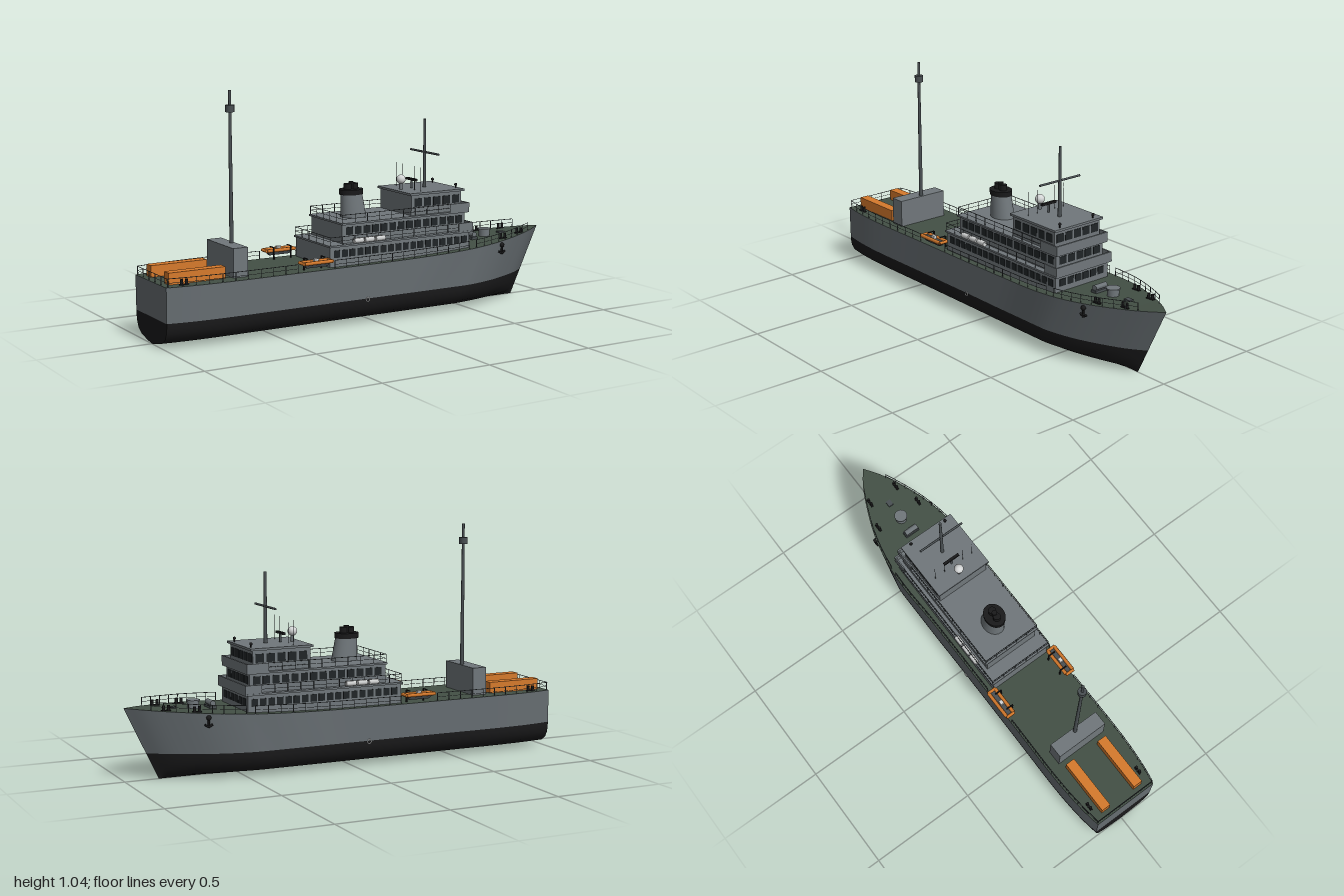
import * as THREE from 'three';
import { mergeGeometries } from 'three/addons/utils/BufferGeometryUtils.js';

const mat = (name, color, side = THREE.FrontSide) => Object.assign(new THREE.MeshStandardMaterial({ color, side }), { name });
const V = (x, y, z) => new THREE.Vector3(x, y, z);

export function createModel() {
  const ship = new THREE.Group();
  ship.name = 'ship';
  const hullGrey = mat('hull grey', 0x666d71);
  const houseGrey = mat('house grey', 0x70777b);
  const black = mat('black', 0x1a1a1b);
  const green = mat('deck green', 0x435045);
  const orange = mat('orange', 0xd67a2c);
  const glass = mat('dark glass', 0x202527);
  const white = mat('white', 0xd4d6d6);
  const railGrey = mat('rail grey', 0x4a5053);

  const add = (name, geo, material, x = 0, y = 0, z = 0) => {
    const m = new THREE.Mesh(geo, material);
    m.name = name;
    m.position.set(x, y, z);
    ship.add(m);
    return m;
  };
  // box given by its limits
  const box = (name, m, x0, x1, y0, y1, z0, z1) =>
    add(name, new THREE.BoxGeometry(x1 - x0, y1 - y0, z1 - z0), m, (x0 + x1) / 2, (y0 + y1) / 2, (z0 + z1) / 2);
  const cyl = (name, m, x, y0, y1, z, r0, r1 = r0, n = 16) =>
    add(name, new THREE.CylinderGeometry(r1, r0, y1 - y0, n), m, x, (y0 + y1) / 2, z);
  // thin rod between two points
  const rod = (a, b, r) => {
    const d = b.clone().sub(a);
    const g = new THREE.CylinderGeometry(r, r, d.length(), 6);
    g.applyQuaternion(new THREE.Quaternion().setFromUnitVectors(V(0, 1, 0), d.normalize()));
    return g.translate((a.x + b.x) / 2, (a.y + b.y) / 2, (a.z + b.z) / 2);
  };
  // surface through rows of points
  const grid = rows => {
    const n = rows[0].length, idx = [];
    for (let i = 0; i < rows.length - 1; i++)
      for (let j = 0; j < n - 1; j++) {
        const a = i * n + j, b = a + n;
        idx.push(a, a + 1, b + 1, a, b + 1, b);
      }
    const g = new THREE.BufferGeometry().setFromPoints(rows.flat());
    g.setIndex(idx);
    g.computeVertexNormals();
    return g;
  };

  // deck edge: x, height, half breadth
  const edge = new THREE.CatmullRomCurve3([
    V(-1, .265, .155), V(-.9, .265, .17), V(-.75, .265, .18), V(-.4, .265, .18), V(-.1, .265, .18),
    V(.2, .268, .182), V(.4, .276, .19), V(.55, .284, .181), V(.7, .294, .149), V(.85, .304, .09),
    V(.93, .31, .049), V(1, .315, 0)]).getPoints(66);
  const deckAt = x => {
    const i = Math.max(1, edge.findIndex(p => p.x >= x));
    return edge[i - 1].clone().lerp(edge[i], (x - edge[i - 1].x) / (edge[i].x - edge[i - 1].x));
  };

  // hull rows, following the raked stem
  const row = (y, w, s) => edge.map(p => V(-1 + (p.x + 1) * (1.85 + .15 * y / .315) / 2, y, s * Math.min(p.z, .182) * w));
  const deckRow = s => edge.map(p => V(p.x, p.y, s * p.z));
  const profile = [[0, 0], [.01, .35], [.022, .66], [.042, .86], [.07, .955], [.095, .985], [.115, .99]];
  for (const s of [1, -1]) {
    const order = r => (s > 0 ? r : r.reverse());
    add('lowerHull', grid(profile.map(([y, w]) => order(row(y, w, s)))), black);
    add('upperHull', grid([order(row(.115, .99, s)), order(deckRow(s))]), hullGrey);
  }
  const stern = (y, w) => [V(-1, y, -.155 * w), V(-1, y, .155 * w)];
  add('lowerTransom', grid(profile.map(p => stern(...p))), black);
  add('upperTransom', grid([stern(.115, .99), stern(.265, 1)]), hullGrey);
  add('mainDeck', grid([deckRow(1), deckRow(-1)]), green);

  // superstructure tiers
  box('lowerHouse', houseGrey, -.23, .5, .255, .352, -.15, .15);
  box('lowerHouseRoof', houseGrey, -.235, .515, .352, .36, -.16, .16);
  box('middleHouse', houseGrey, -.16, .485, .36, .442, -.133, .133);
  box('middleHouseRoof', houseGrey, -.165, .502, .442, .45, -.145, .145);
  box('bridge', houseGrey, .2, .468, .45, .54, -.128, .128);
  box('bridgeRoof', houseGrey, .19, .48, .54, .55, -.137, .137);
  box('lowerBulwark', houseGrey, .507, .515, .36, .397, -.155, .155);
  box('bridgeBulwark', houseGrey, .494, .502, .45, .486, -.142, .142);
  for (const s of [1, -1]) {
    box('lowerBulwarkSide', houseGrey, .44, .515, .36, .397, s * .155 - .003, s * .155 + .003);
    box('bridgeBulwarkSide', houseGrey, .4, .502, .45, .486, s * .142 - .003, s * .142 + .003);
  }

  // window rows along both sides and across the front
  const windows = (x0, x1, n, y0, y1, z, front, nf, wf) => {
    const pitch = (x1 - x0) / n;
    for (let i = 0; i < n; i++) {
      const x = x0 + pitch * (i + .5), h = pitch * .38;
      for (const s of [1, -1]) box('sideWindow', glass, x - h, x + h, y0, y1, s * z - .002, s * z + .002);
    }
    const pf = 2 * wf / nf;
    for (let i = 0; i < nf; i++) {
      const c = -wf + pf * (i + .5);
      box('frontWindow', glass, front - .002, front + .002, y0, y1, c - pf * .4, c + pf * .4);
    }
  };
  windows(-.215, .49, 18, .305, .337, .15, .5, 6, .13);
  windows(-.145, .475, 14, .396, .43, .133, .485, 5, .12);
  windows(.21, .462, 5, .488, .525, .128, .468, 5, .122);

  // railings: posts and two bars along a path of floor points
  const rail = (name, pts, h = .036) => {
    const parts = [];
    pts.forEach((p, i) => {
      const up = k => pts[i + k].clone().add(V(0, h, 0));
      parts.push(rod(p, up(0), .0015));
      if (i < pts.length - 1) {
        parts.push(rod(up(0), up(1), .0015));
        parts.push(rod(p.clone().add(V(0, h / 2, 0)), pts[i + 1].clone().add(V(0, h / 2, 0)), .001));
      }
    });
    add(name, mergeGeometries(parts), railGrey);
  };
  const line = (a, b, n) => Array.from({ length: n + 1 }, (_, i) => a.clone().lerp(b, i / n));
  const deckLine = (x0, x1, n, s) => line(V(x0, 0, 0), V(x1, 0, 0), n).map(p => {
    const d = deckAt(p.x);
    return V(p.x, d.y, s * (d.z - .005));
  });
  for (const s of [1, -1]) {
    rail('aftRail', deckLine(-.99, -.4, 10, s));
    rail('sideRail', deckLine(-.22, .48, 12, s));
    rail('bowRail', deckLine(.52, .9, 8, s));
    rail('lowerRoofRail', line(V(-.23, .36, s * .156), V(.44, .36, s * .156), 11));
    rail('middleRoofRail', line(V(-.16, .45, s * .141), V(.4, .45, s * .141), 9));
  }
  rail('sternRail', line(V(-.993, .265, -.15), V(-.993, .265, .15), 5));
  rail('lowerRoofAftRail', line(V(-.23, .36, -.156), V(-.23, .36, .156), 5));
  rail('middleRoofAftRail', line(V(-.16, .45, -.141), V(-.16, .45, .141), 5));

  // funnel: oval, tapered and raked
  const oval = (name, m, y0, y1, r0, r1, x) => {
    const f = cyl(name, m, x, y0, y1, 0, r0, r1, 28);
    f.geometry.scale(1, 1, .82);
    return f;
  };
  const rake = g => g.applyMatrix4(new THREE.Matrix4().makeShear(0, 0, -.1, 0, 0, 0));
  rake(oval('funnel', houseGrey, .45, .555, .06, .05, -.028).geometry);
  oval('funnelCap', black, .55, .573, .055, .056, -.034);
  for (const x of [-.052, -.018]) cyl('exhaustPipe', black, x, .57, .598, 0, .017);
  cyl('mainExhaust', black, -.034, .57, .605, 0, .012);

  // bridge mast, yard, radar and aerials
  cyl('foreMast', railGrey, .355, .55, .86, 0, .008, .006);
  add('yard', rod(V(.355, .71, -.113), V(.355, .71, .113), .005), railGrey);
  cyl('radarPost', railGrey, .285, .55, .588, 0, .005);
  box('radarBar', black, .279, .291, .586, .596, -.04, .04);
  cyl('domePost', houseGrey, .228, .55, .58, 0, .008);
  add('radarDome', new THREE.SphereGeometry(.021, 24, 16), white, .228, .595, 0);
  for (const z of [-.1, -.05, .05, .1]) cyl('whipAerial', railGrey, .268, .55, .657, z, .0015, .001, 6);
  for (const s of [1, -1]) {
    cyl('lampPost', black, .462, .55, .562, s * .094, .003);
    add('searchlight', new THREE.SphereGeometry(.007, 12, 8), black, .462, .565, s * .094);
  }

  // aft mast on its deckhouse
  box('mastHouse', houseGrey, -.68, -.612, .262, .39, -.125, .125);
  cyl('aftMast', railGrey, -.625, .39, 1.037, 0, .009, .006);
  cyl('mastDrum', railGrey, -.625, .945, .975, 0, .019);

  for (const s of [1, -1]) {
    // cargo boxes on the after deck
    box('cargoBox', orange, -.968, -.71, .262, .315, s * .0885 - .022, s * .0885 + .022);

    // ship's boat: grey hull with an orange collar, hung on davits
    for (const z of [.149, .186])
      add('boatCollar', rod(V(-.375, .302, s * z), V(-.24, .302, s * z), .0085), orange);
    for (const x of [-.379, -.239])
      add('boatCollarEnd', rod(V(x, .302, s * .146), V(x, .302, s * .189), .0075), orange);
    const boat = box('boatHull', railGrey, -.375, -.242, .28, .302, s * .167 - .017, s * .167 + .017);
    const p = boat.geometry.attributes.position;
    for (let i = 0; i < p.count; i++) if (p.getY(i) < 0) p.setXYZ(i, p.getX(i) * .75, p.getY(i), p.getZ(i) * .5);
    boat.geometry.computeVertexNormals();
    box('boatConsole', white, -.32, -.3, .302, .317, s * .167 - .008, s * .167 + .008);
    for (const x of [-.35, -.265]) {
      add('davitPost', rod(V(x, .262, s * .135), V(x, .318, s * .135), .004), black);
      add('davitArm', rod(V(x, .318, s * .135), V(x, .318, s * .168), .003), black);
    }

    // life raft canisters
    for (const x of [-.09, -.035, .02])
      add('raftCanister', rod(V(x - .023, .372, s * .155), V(x + .023, .372, s * .155), .012), white);

    // twin bollards
    for (const [x, z] of [[-.912, .137], [.716, .113], [.838, .073]]) {
      const y = deckAt(x).y;
      box('bollardBase', black, x - .02, x + .02, y - .003, y + .004, s * z - .006, s * z + .006);
      for (const d of [-.011, .011]) cyl('bollard', black, x + d, y, y + .024, s * z, .006);
    }

    // anchor against the bow plating
    const z = s * .156;
    add('anchorShank', rod(V(.68, .282, z), V(.68, .237, z), .005), black);
    add('anchorHawse', new THREE.SphereGeometry(.011, 12, 8), black, .68, .275, z);
    add('anchorArms', rod(V(.663, .246, z), V(.68, .236, z), .005), black);
    add('anchorArms', rod(V(.697, .246, z), V(.68, .236, z), .005), black);

    // load ring on the side
    add('loadRing', new THREE.TorusGeometry(.009, .002, 6, 20), white, -.058, .112, s * .181);
  }

  // foredeck gear
  box('winchBase', railGrey, .598, .628, .28, .3, -.036, .036);
  add('winchDrum', rod(V(.613, .31, -.032), V(.613, .31, .032), .013), houseGrey);
  cyl('capstan', houseGrey, .692, .285, .322, 0, .026, .026, 20);
  cyl('capstanTop', houseGrey, .692, .322, .328, 0, .03, .03, 20);
  box('foreHatch', railGrey, .77, .8, .295, .306, -.012, .012);

  return ship;
}
